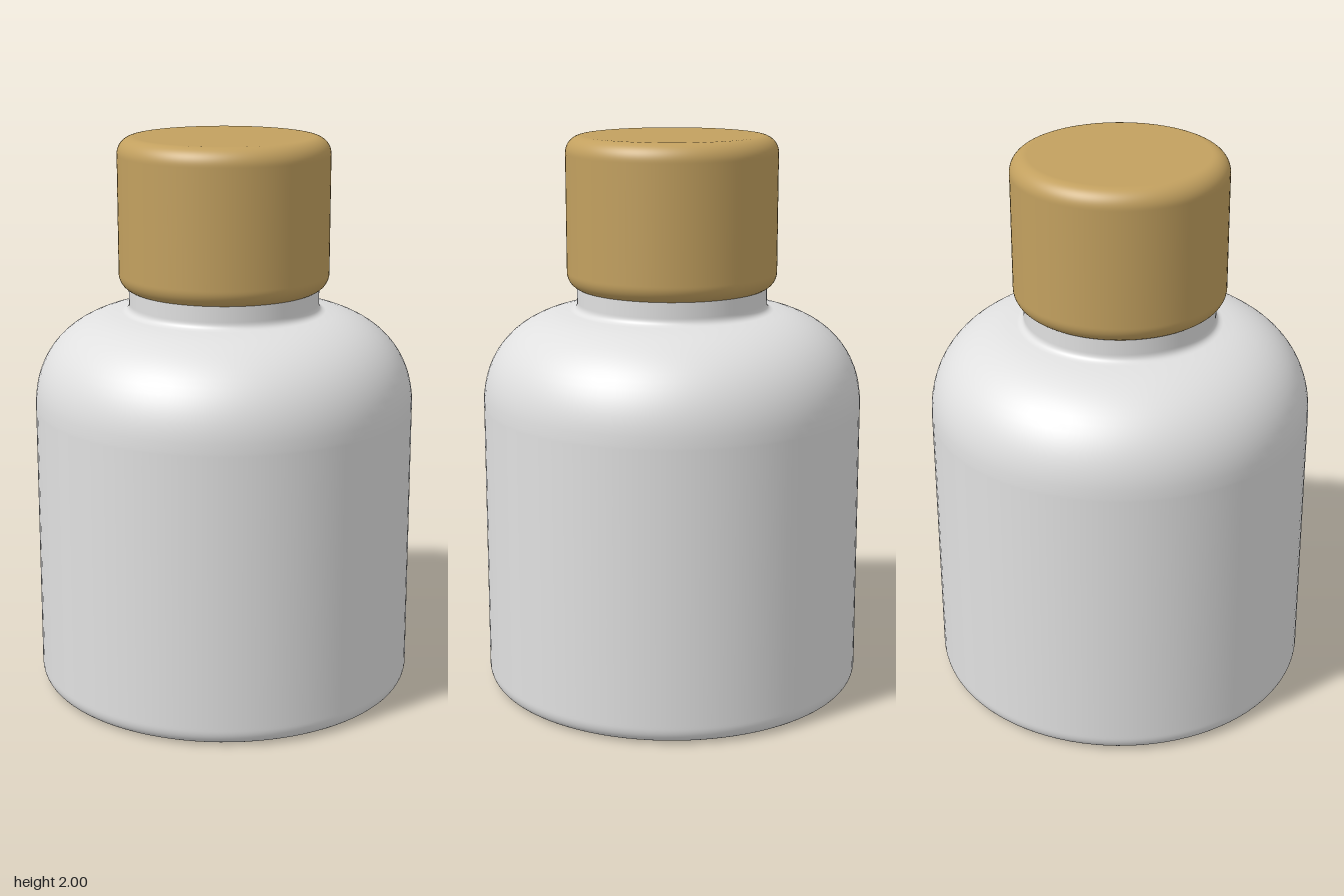
import * as THREE from 'three';

const SEGMENTS = 96;

// Revolves a 2D path; very short straight leads beside each curve keep flat areas evenly shaded
function revolve(path, material, name) {
  const points = [];
  for (const curve of path.curves) {
    const isLine = curve instanceof THREE.LineCurve;
    const steps = isLine ? [0, 0.01, 0.99, 1] : Array.from({ length: 17 }, (_, i) => i / 16);
    for (const t of steps) {
      const p = curve.getPoint(t);
      if (!points.length || p.distanceTo(points[points.length - 1]) > 1e-5) points.push(p);
    }
  }
  const mesh = new THREE.Mesh(new THREE.LatheGeometry(points, SEGMENTS), material);
  mesh.name = name;
  return mesh;
}

export function createModel() {
  const group = new THREE.Group();
  group.name = 'bottle';

  const white = new THREE.MeshStandardMaterial({ color: 0xe0e0e0 });
  white.name = 'white';
  const tan = new THREE.MeshStandardMaterial({ color: 0xc2a05f });
  tan.name = 'tan';

  // Bottle: rounded base, nearly straight wall, domed shoulder, filleted neck
  const body = new THREE.Path();
  body.moveTo(0, 0);
  body.lineTo(0.625, 0);
  body.bezierCurveTo(0.66, 0, 0.683, 0.022, 0.683, 0.06);
  body.lineTo(0.68, 1.05);
  body.bezierCurveTo(0.68, 1.23, 0.56, 1.36, 0.365, 1.382);
  body.quadraticCurveTo(0.34, 1.386, 0.34, 1.41);
  body.lineTo(0.34, 1.5);
  group.add(revolve(body, white, 'bottleBody'));

  // Cap: solid cylinder with rounded rims
  const r = 0.375, bottom = 1.46, top = 2, f = 0.06;
  const cap = new THREE.Path();
  cap.moveTo(0, bottom);
  cap.lineTo(r - f, bottom);
  cap.absarc(r - f, bottom + f, f, -Math.PI / 2, 0, false);
  cap.lineTo(r, top - f);
  cap.absarc(r - f, top - f, f, 0, Math.PI / 2, false);
  cap.lineTo(0, top);
  group.add(revolve(cap, tan, 'cap'));

  return group;
}
